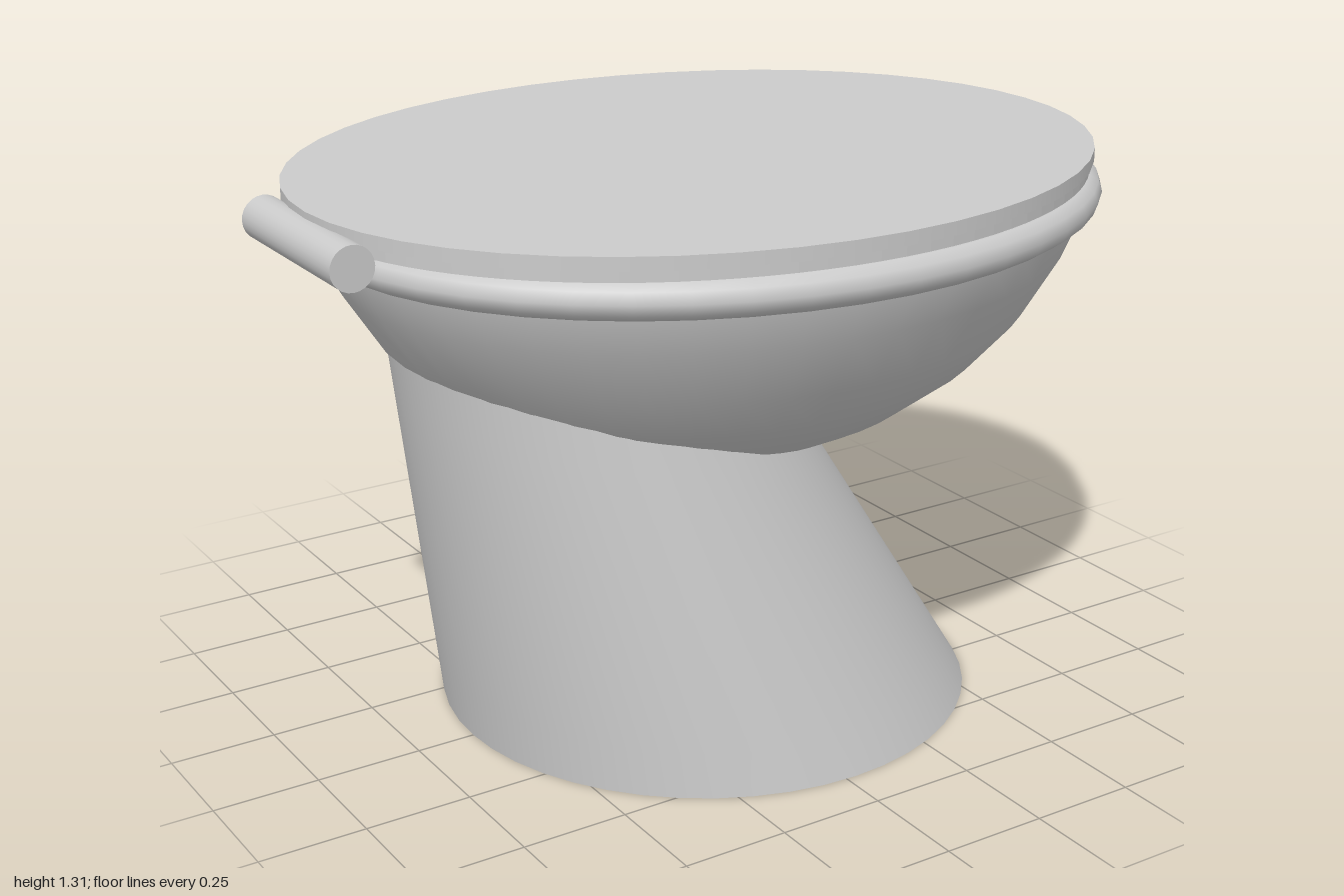
import * as THREE from 'three';

const material = new THREE.MeshStandardMaterial({ color: 0xcccccc });
const thin = new THREE.MeshStandardMaterial({ color: 0xcccccc, side: THREE.DoubleSide });
const SEG = 48;
const OVAL = 0.83; // depth to length ratio of bowl and rim

export function createModel() {
  const group = new THREE.Group();
  const add = (name, geometry, mat = material) => {
    const mesh = new THREE.Mesh(geometry, mat);
    mesh.name = name;
    group.add(mesh);
    return mesh;
  };

  // Pedestal: cylinder wall swept from the round foot to a tilted oval under the bowl
  const wall = new THREE.CylinderGeometry(1, 1, 1, SEG, 8, true);
  const p = wall.attributes.position;
  for (let i = 0; i < p.count; i++) {
    const t = (p.getY(i) + 0.5) * 1.02;
    const c = p.getX(i), s = p.getZ(i);
    p.setXYZ(i,
      THREE.MathUtils.lerp(0.025 + 0.635 * c, -0.24 + 0.5 * c, t),
      t * (0.78 - 0.15 * c),
      s * THREE.MathUtils.lerp(0.635, 0.445, t));
  }
  wall.computeVertexNormals();
  // Blend the normals across the wall seam
  const n = wall.attributes.normal;
  for (let row = 0; row <= 8; row++) {
    const a = row * (SEG + 1), b = a + SEG;
    const v = new THREE.Vector3().fromBufferAttribute(n, a)
      .add(new THREE.Vector3().fromBufferAttribute(n, b)).normalize();
    n.setXYZ(a, v.x, v.y, v.z);
    n.setXYZ(b, v.x, v.y, v.z);
  }
  add('pedestal', wall, thin);
  const foot = new THREE.CircleGeometry(0.635, SEG).rotateX(Math.PI / 2);
  add('pedestalFoot', foot.translate(0.025, 0, 0));

  // Bowl: oval shell
  const profile = [[0, 0.61], [0.225, 0.628], [0.365, 0.66], [0.525, 0.73], [0.675, 0.83],
    [0.785, 0.94], [0.875, 1.08], [0.915, 1.17], [0.92, 1.21]]
    .map(([r, y]) => new THREE.Vector2(r, y));
  const bowl = new THREE.LatheGeometry(profile, SEG).scale(1, 1, OVAL);
  add('bowl', bowl.translate(0.035, 0, 0), thin);

  // Rolled rim
  const rim = new THREE.TorusGeometry(0.908, 0.05, 10, SEG).rotateX(Math.PI / 2);
  add('rim', rim.scale(1, 0.86, OVAL).translate(0.035, 1.208, 0));

  // Seat ring, hidden below the lid
  const ring = new THREE.Shape().absellipse(0, 0, 0.95, 0.775, 0, Math.PI * 2);
  ring.holes.push(new THREE.Path().absellipse(0, 0, 0.68, 0.53, 0, Math.PI * 2, true));
  const seat = new THREE.ExtrudeGeometry(ring, { depth: 0.025, bevelEnabled: false, curveSegments: SEG });
  add('seat', seat.rotateX(-Math.PI / 2).translate(0.01, 1.255, 0));

  // Flat oval lid
  const lid = new THREE.CylinderGeometry(1, 1, 0.03, SEG).scale(0.96, 1, 0.783);
  add('lid', lid.translate(0.01, 1.295, 0));

  // Hinge bar across the back of the seat
  const hinge = new THREE.CylinderGeometry(0.05, 0.05, 0.445, 24).rotateX(Math.PI / 2);
  add('hinge', hinge.translate(-0.95, 1.245, 0));

  return group;
}
